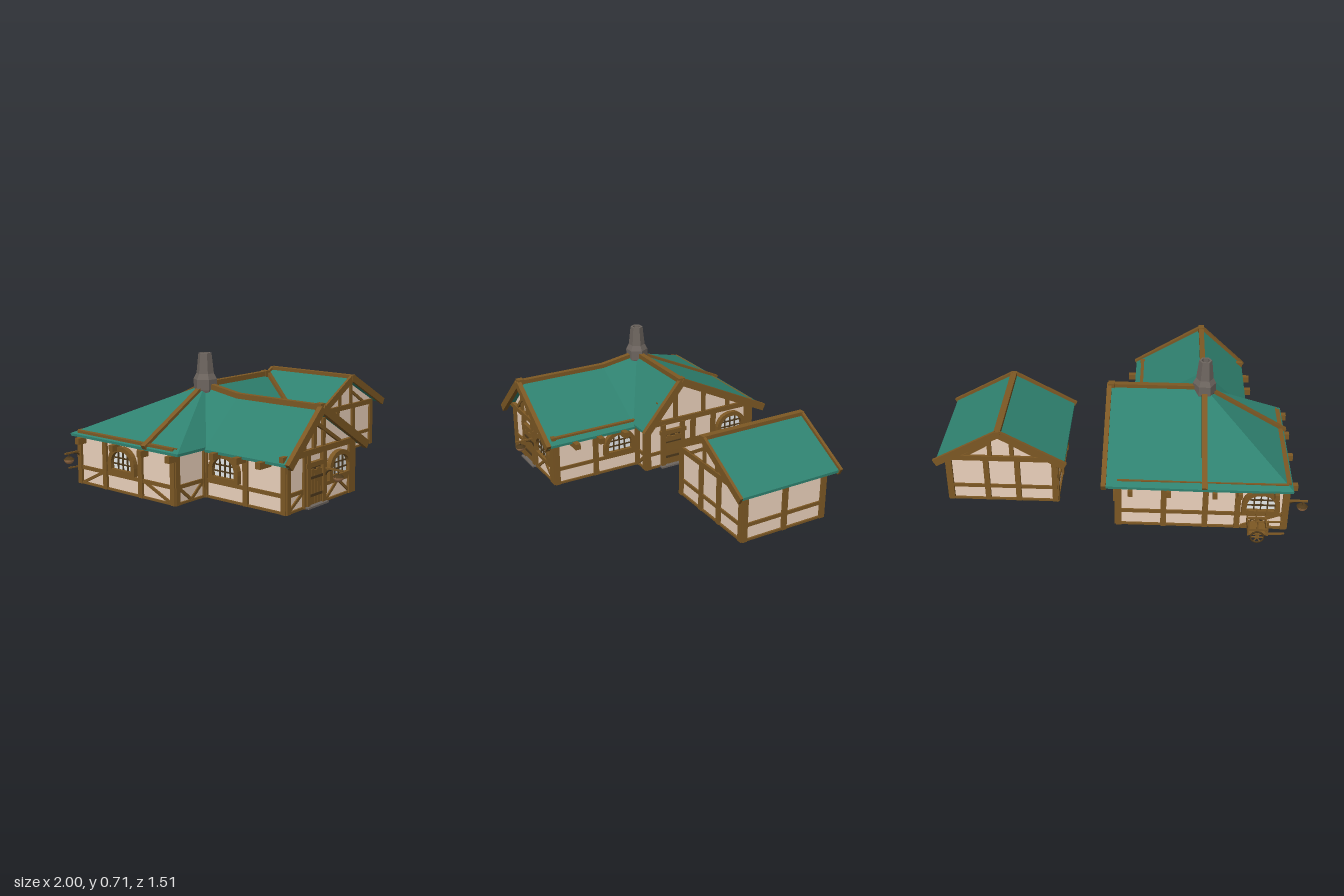
import * as THREE from 'three';

const mat = (color) => new THREE.MeshStandardMaterial({ color });
const V = (x, y, z) => new THREE.Vector3(x, y, z);

export function createModel() {
  const root = new THREE.Group();
  const wall = mat(0xecd2bc), wood = mat(0x7d5824), dark = mat(0x4f3a1c), roofMat = mat(0x2f8270);
  const stone = mat(0x6d655f), pane = mat(0xe6e9ea), brass = mat(0xa9794f);
  roofMat.flatShading = true;
  stone.flatShading = true;

  const add = (parent, name, geo, material, x = 0, y = 0, z = 0) => {
    const m = new THREE.Mesh(geo, material);
    m.name = name;
    m.position.set(x, y, z);
    parent.add(m);
    return m;
  };
  const group = (parent, name, x = 0, z = 0, ry = 0) => {
    const g = new THREE.Group();
    g.name = name;
    g.position.set(x, 0, z);
    g.rotation.y = ry;
    parent.add(g);
    return g;
  };
  const box = (p, name, m, x0, x1, y0, y1, z0, z1) =>
    add(p, name, new THREE.BoxGeometry(x1 - x0, y1 - y0, z1 - z0), m, (x0 + x1) / 2, (y0 + y1) / 2, (z0 + z1) / 2);
  // Square timber running from a to b
  const beam = (p, name, a, b, w = 0.03, h = w, m = wood) => {
    const geo = new THREE.BoxGeometry(w, h, a.distanceTo(b));
    geo.applyMatrix4(new THREE.Matrix4().lookAt(b, a, V(0, 1, 0)));
    const c = a.clone().add(b).multiplyScalar(0.5);
    return add(p, name, geo, m, c.x, c.y, c.z);
  };
  // Convex sloping roof panel with thickness
  const slab = (p, name, pts, t = 0.014) => {
    const n = pts[1].clone().sub(pts[0]).cross(pts[2].clone().sub(pts[0]));
    const top = n.y < 0 ? [...pts].reverse() : pts;
    const low = top.map((q) => V(q.x, q.y - t, q.z));
    const out = [];
    top.forEach((q, i) => {
      const j = (i + 1) % top.length;
      out.push(q, low[i], top[j], top[j], low[i], low[j]);
      if (i > 0 && j > 0) out.push(top[0], q, top[j], low[0], low[j], low[i]);
    });
    const geo = new THREE.BufferGeometry().setFromPoints(out);
    geo.computeVertexNormals();
    return add(p, name, geo, roofMat);
  };
  const extrude = (shape, depth) => new THREE.ExtrudeGeometry(shape, { depth, bevelEnabled: false, curveSegments: 8 });
  const poly = (pts) => new THREE.Shape(pts.map(([x, y]) => new THREE.Vector2(x, y)));

  // Arched opening outline
  const arch = (Type, w, h, y0) => {
    const s = new Type(), r = w / 2, k = y0 + h * 0.3;
    s.moveTo(-r, y0);
    s.lineTo(r, y0);
    s.lineTo(r, k);
    s.bezierCurveTo(r, y0 + h * 0.75, r * 0.6, y0 + h, 0, y0 + h);
    s.bezierCurveTo(-r * 0.6, y0 + h, -r, y0 + h * 0.75, -r, k);
    s.lineTo(-r, y0);
    return s;
  };
  const archWindow = (p, x) => {
    const g = group(p, 'archWindow', x, 0);
    const s = arch(THREE.Shape, 0.2, 0.145, 0.107);
    s.holes.push(arch(THREE.Path, 0.148, 0.1, 0.127));
    add(g, 'windowFrame', extrude(s, 0.026), wood);
    add(g, 'windowPane', extrude(arch(THREE.Shape, 0.16, 0.11, 0.122), 0.004), pane);
    for (const bx of [-0.035, 0, 0.035]) box(g, 'windowBar', dark, bx - 0.003, bx + 0.003, 0.122, 0.222, 0.004, 0.012);
    for (const by of [0.155, 0.188]) box(g, 'windowBar', dark, -0.074, 0.074, by - 0.003, by + 0.003, 0.004, 0.012);
  };
  const door = (p, x, w = 0.13) => {
    const g = group(p, 'door', x, 0);
    box(g, 'doorRecess', dark, -w / 2, w / 2, 0.01, 0.22, 0, 0.004);
    for (let i = 0; i < 5; i++) {
      const c = (i - 2) * w / 5;
      box(g, 'doorPlank', wood, c - w / 11, c + w / 11, 0.012, 0.185 + (i % 2) * 0.008, 0.004, 0.014);
    }
    for (const y of [0.06, 0.15]) box(g, 'doorStrap', dark, -w / 2, w / 2, y - 0.007, y + 0.007, 0.012, 0.018);
    box(g, 'doorLintel', wood, -w / 2 - 0.02, w / 2 + 0.02, 0.205, 0.23, 0, 0.022);
    for (const s of [-1, 1]) box(g, 'doorJamb', wood, s * w / 2 - 0.012, s * w / 2 + 0.012, 0, 0.27, 0, 0.022);
    box(g, 'doorStep', stone, -w / 2 - 0.02, w / 2 + 0.02, 0, 0.01, 0, 0.035);
  };
  // Timber framing of one wall: posts, sill, rail, head beam, low braces
  const facade = (p, name, x, z, ry, half, { posts = [], windows = [], doors = [], braces = [] }) => {
    const g = group(p, name, x, z, ry);
    for (const px of [-half + 0.008, ...posts, half - 0.008])
      box(g, 'post', wood, px - 0.015, px + 0.015, 0, 0.28, -0.012, 0.014);
    const cuts = [...windows.map((c) => [c - 0.09, c + 0.09, 0]), ...doors.map((c) => [c - 0.065, c + 0.065, 1])];
    let from = -half;
    for (const [a, b] of [...cuts.filter((c) => c[2]).sort((m, n) => m[0] - n[0]), [half, half]]) {
      if (a > from) {
        box(g, 'rail', wood, from, a, 0.082, 0.102, -0.01, 0.009);
        box(g, 'sill', wood, from, a, 0, 0.012, -0.01, 0.01);
      }
      from = b;
    }
    box(g, 'headBeam', wood, -half, half, 0.265, 0.295, -0.012, 0.015);
    windows.forEach((c) => archWindow(g, c));
    doors.forEach((c) => door(g, c));
    braces.forEach(([a, b]) => beam(g, 'brace', V(a, 0.01, 0), V(b, 0.088, 0), 0.016, 0.016));
    return g;
  };
  const H = Math.PI / 2;

  // ---- Main house walls ----
  const house = group(root, 'house');
  box(house, 'mainWalls', wall, -0.89, 0, 0.006, 0.275, -0.62, 0.1);
  box(house, 'wingWalls', wall, -0.67, -0.1, 0.006, 0.27, 0.05, 0.63);
  box(house, 'mainFloor', stone, -0.892, 0.002, 0, 0.008, -0.622, 0.102);
  box(house, 'wingFloor', stone, -0.672, -0.098, 0, 0.0079, 0.1, 0.632);
  add(house, 'wingGable', extrude(poly([[-0.67, 0.26], [-0.1, 0.26], [-0.1, 0.278], [-0.455, 0.5], [-0.67, 0.29]]), 0.02), wall, 0, 0, 0.61);
  const sideGable = add(house, 'sideGable',
    extrude(poly([[-0.1, 0.27], [0.62, 0.27], [0.62, 0.283], [0.09, 0.535], [-0.1, 0.31]]), 0.02), wall, -0.02);
  sideGable.rotation.y = H;

  facade(house, 'wingFront', -0.385, 0.63, 0, 0.285,
    { posts: [-0.14, 0.02, 0.25], windows: [0.145], doors: [-0.06], braces: [[-0.27, -0.15], [0.04, 0.14], [0.25, 0.15]] });
  facade(house, 'wingRight', -0.1, 0.365, H, 0.265, { posts: [-0.015], windows: [0.135] });
  facade(house, 'wingLeft', -0.67, 0.365, -H, 0.265, { posts: [0.015], windows: [-0.12] });
  facade(house, 'mainRight', 0, -0.26, H, 0.36, { posts: [-0.05, 0.09, 0.33], windows: [0.21], doors: [-0.19], braces: [[-0.04, 0.08]] });
  facade(house, 'mainLeft', -0.89, -0.26, -H, 0.36, { posts: [-0.15, 0.12], windows: [-0.01], braces: [[-0.33, -0.17], [0.33, 0.15]] });
  facade(house, 'mainBack', -0.445, -0.62, Math.PI, 0.445, { posts: [-0.2, 0.02, 0.19], windows: [0.31], braces: [[0.21, 0.4]] });
  facade(house, 'mainFrontLeft', -0.78, 0.1, 0, 0.11, { braces: [[0, -0.09], [0, 0.09]] });
  facade(house, 'mainFrontRight', -0.05, 0.1, 0, 0.05, { braces: [[-0.04, 0.04]] });

  // ---- Main roof ----
  const roof = group(house, 'roof');
  const e = 0.275;
  const P = V(-0.455, 0.545, -0.09), A = V(-0.92, e, -0.09), B = V(-0.455, e, -0.67), C = V(-0.915, e, -0.665);
  const D = V(-0.915, e, 0.145), F = V(-0.455, e, 0.145), R = V(0.07, 0.545, -0.09);
  const RB = V(0.07, e, -0.665), RF = V(0.07, e, 0.145);
  const W0 = V(-0.455, 0.507, 0.145), W1 = V(-0.455, 0.507, 0.685);
  const L0 = V(-0.72, 0.265, 0.145), L1 = V(-0.72, 0.265, 0.685), E0 = V(-0.055, 0.265, 0.145), E1 = V(-0.055, 0.265, 0.685);
  [[P, R, RB, B], [P, F, RF, R], [P, C, D], [P, B, C], [P, D, F], [W1, W0, L0, L1], [W0, W1, E1, E0], [P, W0, L0], [P, W0, E0]]
    .forEach((pts) => slab(roof, 'roofPanel', pts));
  [[P, R], [P, A], [P, B], [P, W0], [W0, W1]].forEach(([a, b]) => beam(roof, 'ridgeBeam', a, b, 0.03, 0.028));
  const verge = (p, apex, end, w = 0.026) => beam(p, 'vergeBoard', V(apex.x, apex.y - 0.005, apex.z), V(end.x, end.y - 0.012, end.z), w, 0.042);
  [[R, RB], [R, RF], [W1, L1], [W1, E1]].forEach(([a, b]) => verge(roof, a, b));
  box(roof, 'ridgeEnd', wood, 0.04, 0.076, 0.525, 0.562, -0.11, -0.07);
  box(roof, 'ridgeEnd', wood, -0.473, -0.437, 0.49, 0.527, 0.655, 0.692);

  // Gable timbers
  const gz = 0.64;
  box(roof, 'kingPost', wood, -0.467, -0.443, 0.28, 0.5, gz - 0.012, gz + 0.006);
  box(roof, 'tieBeam', wood, -0.72, -0.08, 0.27, 0.298, gz - 0.012, gz + 0.012);
  for (const [x, y] of [[-0.535, 0.41], [-0.375, 0.44]]) box(roof, 'gableStud', wood, x - 0.011, x + 0.011, 0.29, y, gz - 0.012, gz + 0.004);
  beam(roof, 'gableBrace', V(-0.455, 0.43, gz), V(-0.59, 0.3, gz), 0.018);
  beam(roof, 'gableBrace', V(-0.455, 0.43, gz), V(-0.24, 0.3, gz), 0.018);
  for (const [z, y] of [[-0.09, 0.53], [-0.28, 0.44], [0.02, 0.41], [-0.45, 0.36]])
    box(roof, 'gableStud', wood, -0.01, 0.012, 0.28, y, z - 0.012, z + 0.012);

  // Joist ends below the eaves
  const joist = (x0, x1, z0, z1) => box(roof, 'joistEnd', wood, x0, x1, 0.228, 0.262, z0, z1);
  for (const z of [0.22, 0.375, 0.525]) {
    joist(-0.757, -0.66, z - 0.015, z + 0.015);
    joist(-0.11, -0.012, z - 0.015, z + 0.015);
  }
  for (const z of [-0.58, -0.31, -0.1, 0.1]) joist(-0.945, -0.88, z - 0.015, z + 0.015);
  for (const x of [-0.83, -0.64, -0.51, -0.27, -0.07]) joist(x - 0.012, x + 0.012, -0.685, -0.61);

  // ---- Chimney ----
  const chimney = group(house, 'chimney', -0.455, -0.09);
  const profile = [[0.05, 0.47], [0.064, 0.52], [0.064, 0.575], [0.048, 0.605], [0.036, 0.715], [0.024, 0.715], [0.024, 0.66], [0, 0.66]];
  add(chimney, 'chimneyStack', new THREE.LatheGeometry(profile.map(([x, y]) => new THREE.Vector2(x, y)), 6), stone).rotation.y = H / 3;

  // ---- Hanging lanterns ----
  const lantern = (x, z, ry) => {
    const g = group(house, 'lantern', x, z, ry);
    beam(g, 'lanternArm', V(0, 0.18, 0), V(0, 0.18, 0.115), 0.009);
    const curve = new THREE.QuadraticBezierCurve3(V(0, 0.13, 0.005), V(0, 0.175, 0.01), V(0, 0.178, 0.06));
    add(g, 'lanternBracket', new THREE.TubeGeometry(curve, 8, 0.005, 5), dark);
    add(g, 'lanternBowl', new THREE.SphereGeometry(0.028, 12, 6, 0, Math.PI * 2, H, H), brass, 0, 0.148, 0.088);
    add(g, 'lanternLid', new THREE.CylinderGeometry(0.016, 0.03, 0.012, 12), dark, 0, 0.152, 0.088);
    add(g, 'lanternHook', new THREE.CylinderGeometry(0.003, 0.003, 0.03, 5), dark, 0, 0.168, 0.088);
  };
  lantern(-0.37, 0.64, 0);
  lantern(-0.885, -0.615, -H);

  // ---- Hand cart behind the house ----
  const cart = group(house, 'cart', -0.735, -0.69);
  box(cart, 'cartBed', wood, -0.055, 0.05, 0.045, 0.056, -0.05, 0.045);
  for (const z of [-0.05, 0.045]) {
    box(cart, 'cartSide', wood, -0.055, 0.05, 0.075, 0.088, z - 0.004, z + 0.004);
    for (const x of [-0.052, 0, 0.047]) box(cart, 'cartStake', wood, x - 0.004, x + 0.004, 0.045, 0.14, z - 0.005, z + 0.005);
    beam(cart, 'cartHandle', V(0.05, 0.05, z), V(-0.14, 0.06, z), 0.008);
    const wheel = group(cart, 'wheel', 0, z < 0 ? -0.06 : 0.054);
    wheel.position.y = 0.04;
    add(wheel, 'wheelRim', new THREE.TorusGeometry(0.034, 0.005, 6, 16), dark);
    for (let i = 0; i < 3; i++) {
      const a = (i * Math.PI) / 3, c = 0.034 * Math.cos(a), s = 0.034 * Math.sin(a);
      beam(wheel, 'wheelSpoke', V(-c, -s, 0), V(c, s, 0), 0.006);
    }
  }
  for (const x of [-0.05, 0.046]) box(cart, 'cartEnd', wood, x - 0.004, x + 0.004, 0.056, 0.09, -0.048, 0.043);
  beam(cart, 'axle', V(0, 0.04, -0.06), V(0, 0.04, 0.054), 0.01);

  // ---- Outbuilding ----
  const barn = group(root, 'outbuilding', 0.638, -0.185);
  const gable = [[-0.295, 0.006], [0.295, 0.006], [0.295, 0.295], [0, 0.455], [-0.295, 0.295]];
  add(barn, 'barnWalls', extrude(poly(gable), 0.51), wall, 0, 0, -0.255);
  box(barn, 'barnFloor', stone, -0.297, 0.297, 0, 0.008, -0.257, 0.257);
  for (const [z, ry] of [[0.255, 0], [-0.255, Math.PI]]) {
    const g = facade(barn, 'barnEnd', 0, z, ry, 0.295, { posts: [-0.085, 0.085] });
    for (const s of [-1, 1]) {
      box(g, 'gableStud', wood, s * 0.06 - 0.012, s * 0.06 + 0.012, 0.28, 0.43, -0.01, 0.01);
      beam(g, 'gableBrace', V(s * 0.07, 0.37, 0), V(s * 0.2, 0.29, 0), 0.018);
    }
  }
  for (const s of [-1, 1]) {
    facade(barn, 'barnSide', s * 0.295, 0, s * H, 0.255, { posts: [0] });
    const r = (x, y, z) => V(s * x, y, z);
    slab(barn, 'barnRoofPanel', [r(0, 0.475, -0.318), r(0, 0.475, 0.318), r(0.347, 0.285, 0.318), r(0.347, 0.285, -0.318)]);
    for (const z of [-0.312, 0.312]) verge(barn, V(0, 0.475, z), V(s * 0.352, 0.287, z), 0.016);
  }
  beam(barn, 'barnRidge', V(0, 0.472, -0.322), V(0, 0.472, 0.322), 0.034, 0.03);
  return root;
}
